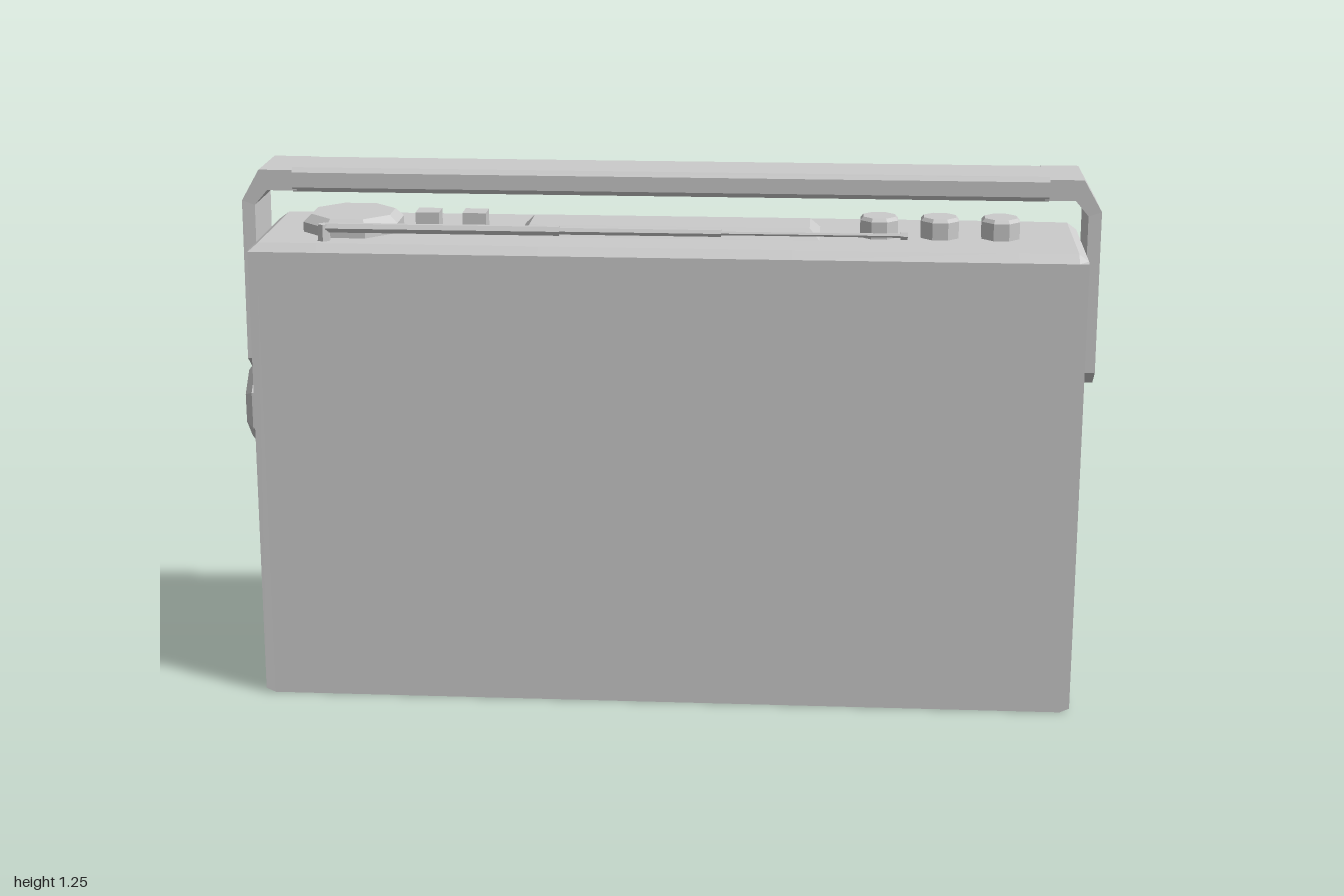
import * as THREE from 'three';

const material = new THREE.MeshStandardMaterial({ color: 0xcccccc, flatShading: true });
const BACK = -0.178; // z of the speaker face

function addMesh(parent, name, geometry, x = 0, y = 0, z = 0) {
  const mesh = new THREE.Mesh(geometry, material);
  mesh.name = name;
  mesh.position.set(x, y, z);
  parent.add(mesh);
  return mesh;
}

// Skins a list of equal-length loops of [x, y, z] and closes both ends
function loft(sections) {
  const positions = [];
  const a = new THREE.Vector3(), b = new THREE.Vector3(), c = new THREE.Vector3();
  const tri = (p, q, r) => {
    a.fromArray(p); b.fromArray(q); c.fromArray(r);
    if (b.clone().sub(a).cross(c.clone().sub(a)).length() > 1e-9) positions.push(...p, ...q, ...r);
  };
  const n = sections[0].length;
  const centre = (loop) => [0, 1, 2].map((k) => loop.reduce((sum, p) => sum + p[k], 0) / n);
  const first = sections[0], last = sections[sections.length - 1];
  const c0 = centre(first), c1 = centre(last);
  for (let i = 0; i < n; i++) {
    const j = (i + 1) % n;
    for (let s = 0; s + 1 < sections.length; s++) {
      const p = sections[s], q = sections[s + 1];
      tri(p[i], p[j], q[i]);
      tri(p[j], q[j], q[i]);
    }
    tri(c0, first[j], first[i]);
    tri(c1, last[i], last[j]);
  }
  const geometry = new THREE.BufferGeometry();
  geometry.setAttribute('position', new THREE.Float32BufferAttribute(positions, 3));
  geometry.computeVertexNormals();
  return geometry;
}

// Eight-sided turned part with flat sides aligned to the axes
function octagon(points) {
  return new THREE.LatheGeometry(points.map(([r, h]) => new THREE.Vector2(r, h)), 8, Math.PI / 8);
}

// One slice of the case: door and panel are recess depths, end is the corner setback
function caseSection(x, { door = 0, panel = 0, end = 0, low = 0, high = 1.097 }) {
  return [
    [0.232, low], [BACK, low], [BACK, 0.03], [BACK + door, 0.03], [BACK + door, 0.7], [BACK, 0.7],
    [BACK, 0.728], [BACK + 0.016, 0.738], [BACK, 0.752],
    [BACK + end * 0.2, 0.895], [BACK + panel + end * 0.2, 0.9], [BACK + 0.002 + end * 0.6, 1.03],
    [BACK + 0.008 + end, 1.075], [-0.15 + end * 0.3, high], [0.197, high], [0.214, 1.078],
  ].map(([z, y]) => [x, y, z]);
}

function buildCase() {
  const half = [
    [0.957, { end: 0.022, low: 0.01, high: 1.081 }],
    [0.935, { end: 0.019 }],
    [0.8, {}],
    [0.8, { panel: 0.016 }],
    [0.29, { panel: 0.016 }],
    [0.29, { panel: 0.016, door: 0.025 }],
  ];
  const left = half.map(([x, o]) => caseSection(-x, o));
  const right = half.map(([x, o]) => caseSection(x, o)).reverse();
  return loft([...left, ...right]);
}

// Flat strap rising from the side of the case and bending into the grip
function buildArm(side) {
  const path = [ // inner x, inner y, outer x, outer y, rear z, front z
    [0.96, 0.765, 0.99, 0.765, 0.01, 0.075],
    [0.96, 0.8, 0.99, 0.8, -0.042, 0.12],
    [0.96, 1.165, 0.99, 1.175, -0.064, 0.105],
    [0.93, 1.2, 0.948, 1.248, -0.07, 0.105],
    [0.86, 1.2, 0.86, 1.248, -0.07, 0.105],
  ];
  const sections = path.map(([xi, yi, xo, yo, z0, z1]) => [
    [side * xi, yi, z1], [side * xo, yo, z1], [side * xo, yo, z0], [side * xi, yi, z0],
  ]);
  return loft(side > 0 ? sections : sections.reverse());
}

export function createModel() {
  const model = new THREE.Group();
  model.name = 'portableRadio';
  const radio = new THREE.Group();
  radio.name = 'radio';
  radio.rotation.y = 0.0175;
  model.add(radio);

  addMesh(radio, 'case', buildCase(), 0.003);

  // Speakers and small tweeters on the rear-facing side
  for (const side of [-1, 1]) {
    const speaker = octagon([
      [0.325, -0.01], [0.325, 0.012], [0.303, 0.012], [0.298, 0.008], [0.29, 0.034],
      [0.272, 0.038], [0.16, 0.052], [0, 0.058],
    ]).rotateX(-Math.PI / 2);
    addMesh(radio, 'speaker', speaker, side * 0.643, 0.322, BACK);
    const tweeter = octagon([[0.092, -0.03], [0.092, 0], [0.05, 0.01], [0, 0.015]]).rotateX(-Math.PI / 2);
    addMesh(radio, 'tweeter', tweeter, side * 0.86, 0.725, BACK);
  }

  // Carrying handle
  const handle = new THREE.Group();
  handle.name = 'handle';
  handle.position.x = 0.003;
  radio.add(handle);
  for (const side of [-1, 1]) addMesh(handle, 'handleArm', buildArm(side));
  const gripProfile = [
    [0.1, 1.197], [-0.068, 1.197], [-0.077, 1.21], [-0.077, 1.238],
    [-0.068, 1.247], [0.1, 1.254], [0.109, 1.243], [0.109, 1.208],
  ];
  addMesh(handle, 'grip', loft([-0.87, 0.87].map((x) => gripProfile.map(([z, y]) => [x, y, z]))));

  // Round knob below one handle arm
  const pivot = octagon([[0.114, 0], [0.114, 0.026], [0.088, 0.046], [0, 0.046]]).rotateZ(Math.PI / 2);
  addMesh(radio, 'sideKnob', pivot, -0.953, 0.675, 0.03);

  // Controls on top
  addMesh(radio, 'tuningDial', octagon([[0.12, 0], [0.12, 0.025], [0.1, 0.043], [0, 0.043]]), -0.74, 1.095, 0.03);
  for (const x of [-0.56, -0.45]) {
    addMesh(radio, 'button', new THREE.BoxGeometry(0.055, 0.055, 0.055), x, 1.117, 0.04);
  }
  for (const x of [0.49, 0.63, 0.77]) {
    addMesh(radio, 'controlKnob', octagon([[0.047, 0], [0.047, 0.042], [0.04, 0.05], [0, 0.05]]), x, 1.095, 0.03);
  }
  const slabLoop = (inset, y) => [
    [-0.35 + inset, y, 0.105 - inset], [0.36 - inset, y, 0.105 - inset],
    [0.36 - inset, y, -0.065 + inset], [-0.35 + inset, y, -0.065 + inset],
  ];
  addMesh(radio, 'topPanel', loft([slabLoop(0, 1.09), slabLoop(0.03, 1.122)]));

  // Folded telescopic aerial
  const aerial = new THREE.Group();
  aerial.name = 'aerial';
  aerial.position.set(0, 1.127, 0.165);
  radio.add(aerial);
  const rods = [[-0.78, -0.24, 0.012], [-0.24, 0.13, 0.009], [0.13, 0.54, 0.005]];
  for (const [x0, x1, r] of rods) {
    addMesh(aerial, 'aerialRod', new THREE.CylinderGeometry(r, r, x1 - x0, 6).rotateZ(Math.PI / 2), (x0 + x1) / 2);
  }
  addMesh(aerial, 'aerialTip', new THREE.CylinderGeometry(0.01, 0.01, 0.016, 6).rotateZ(Math.PI / 2), 0.545);
  addMesh(aerial, 'aerialHinge', new THREE.CylinderGeometry(0.013, 0.016, 0.045, 6), -0.785, -0.014);

  return model;
}
